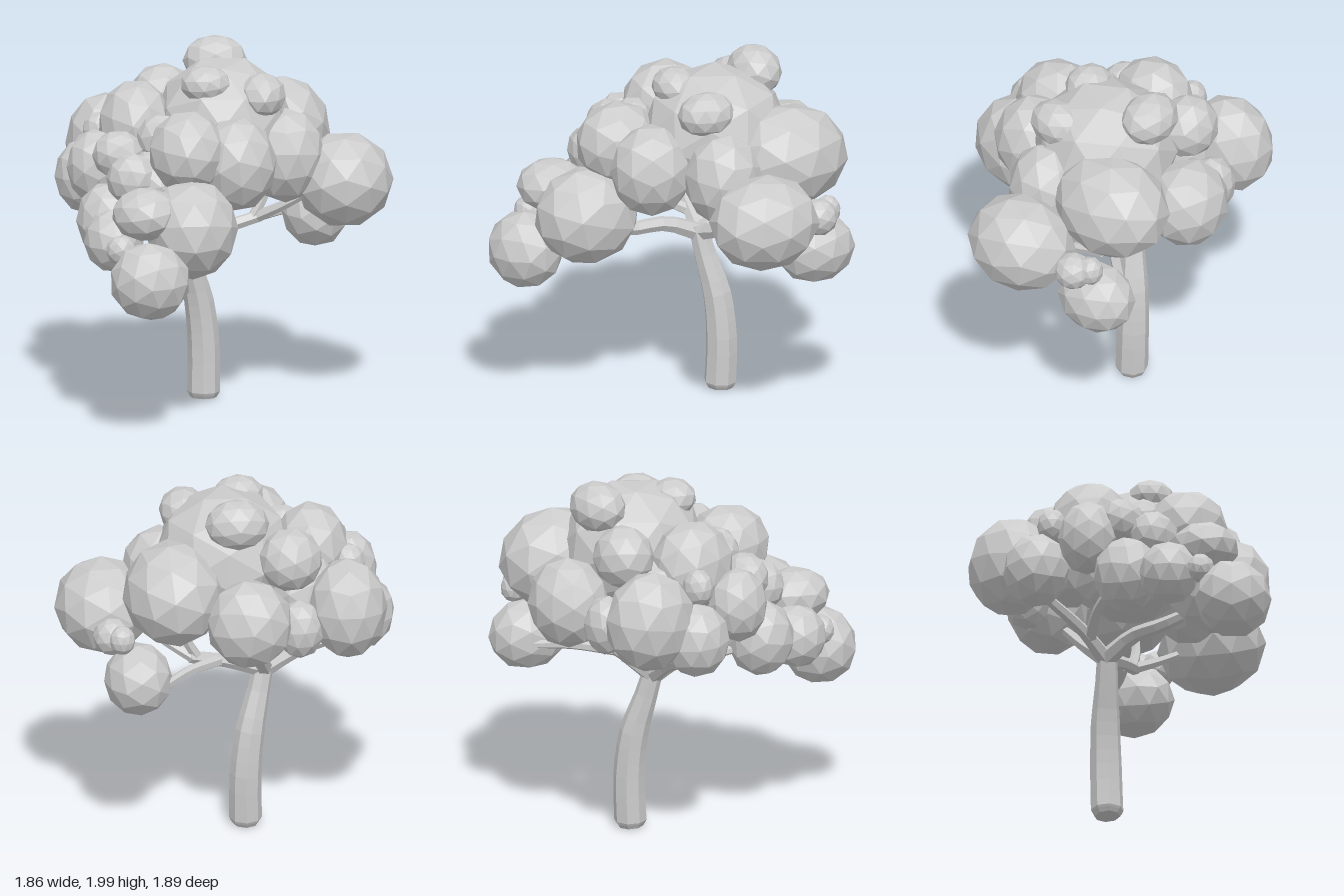
import * as THREE from 'three';

const grey = new THREE.MeshStandardMaterial({ color: 0xcccccc, flatShading: true });
grey.name = 'light grey';

// Leaf clumps: centre x, y, z, then radii x, y, z
const crown = [
  [0, 1.58, -0.23, 0.365, 0.35, 0.39],
  [0.3, 1.475, -0.52, 0.27, 0.275, 0.33],
  [-0.1, 1.365, -0.73, 0.23, 0.24, 0.21],
  [-0.65, 1.375, -0.57, 0.21, 0.27, 0.25],
  [-0.48, 1.575, -0.17, 0.2, 0.24, 0.23],
  [-0.34, 1.655, -0.53, 0.17, 0.17, 0.16],
  [0.34, 1.425, -0.1, 0.21, 0.25, 0.21],
  [-0.42, 1.4, -0.38, 0.2, 0.22, 0.2],
  [-0.36, 1.32, 0.18, 0.2, 0.2, 0.2],
];
const topKnobs = [
  [-0.05, 1.86, -0.5, 0.17, 0.135, 0.14],
  [-0.095, 1.84, -0.03, 0.135, 0.1, 0.12],
  [0.21, 1.77, -0.065, 0.13, 0.12, 0.16],
];
const rightSide = [
  [0.66, 1.27, -0.18, 0.26, 0.25, 0.3],
  [0.5, 0.995, -0.58, 0.18, 0.19, 0.22],
  [0.64, 1.23, -0.53, 0.1, 0.1, 0.1],
  [0.59, 1.24, -0.61, 0.07, 0.08, 0.07],
];
const frontClumps = [
  [-0.19, 1.53, 0.27, 0.21, 0.22, 0.23],
  [0.08, 1.45, 0.21, 0.21, 0.25, 0.22],
  [-0.165, 1.15, 0.48, 0.245, 0.262, 0.285],
  [-0.39, 0.92, 0.74, 0.213, 0.208, 0.197],
  [-0.415, 1.255, 0.56, 0.18, 0.14, 0.19],
];
const leftSide = [
  [-0.57, 1.48, 0.12, 0.14, 0.13, 0.12],
  [-0.34, 1.56, 0.1, 0.13, 0.14, 0.11],
  [-0.49, 1.38, 0.28, 0.14, 0.14, 0.12],
  [-0.62, 1.13, 0.19, 0.175, 0.205, 0.18],
  [-0.59, 1.08, 0.45, 0.16, 0.17, 0.16],
  [-0.7, 1.38, -0.02, 0.15, 0.2, 0.16],
  [-0.75, 1.25, -0.33, 0.17, 0.2, 0.18],
  [-0.68, 1.52, -0.27, 0.09, 0.1, 0.08],
  [-0.55, 1.07, 0.64, 0.08, 0.08, 0.07],
  [-0.38, 1.3, -0.67, 0.13, 0.16, 0.12],
];

function clump([x, y, z, rx, ry, rz], i) {
  const geo = new THREE.IcosahedronGeometry(1.045, 1);
  geo.rotateX(i * 1.3 + 0.4).rotateY(i * 2.1);
  geo.scale(rx, ry, rz);
  const mesh = new THREE.Mesh(geo, grey);
  mesh.position.set(x, y, z);
  return mesh;
}

// Tapered, capped tube; path points are x, y, z, radius
function limb(points, steps, sides) {
  const curve = new THREE.CatmullRomCurve3(points.map(p => new THREE.Vector3(p[0], p[1], p[2])));
  const frames = curve.computeFrenetFrames(steps, false);
  const pos = [], index = [];
  for (let i = 0; i <= steps; i++) {
    const t = i / steps, c = curve.getPoint(t);
    const k = Math.min(Math.floor(t * (points.length - 1)), points.length - 2);
    const r = THREE.MathUtils.lerp(points[k][3], points[k + 1][3], t * (points.length - 1) - k);
    for (let j = 0; j < sides; j++) {
      const a = (j / sides) * Math.PI * 2;
      const v = c.clone().addScaledVector(frames.normals[i], r * Math.cos(a))
        .addScaledVector(frames.binormals[i], r * Math.sin(a));
      pos.push(v.x, v.y, v.z);
      if (i < steps) {
        const n = (j + 1) % sides, p = i * sides;
        index.push(p + j, p + n, p + sides + j, p + n, p + sides + n, p + sides + j);
      }
    }
  }
  const last = steps * sides;
  for (let j = 1; j < sides - 1; j++) {
    index.push(0, j + 1, j, last, last + j, last + j + 1);
  }
  const geo = new THREE.BufferGeometry();
  geo.setAttribute('position', new THREE.Float32BufferAttribute(pos, 3));
  geo.setIndex(index);
  geo.computeVertexNormals();
  return new THREE.Mesh(geo, grey);
}

export function createModel() {
  const tree = new THREE.Group();
  tree.name = 'tree';

  // Curved trunk with a small chamfer at the foot
  const trunk = limb([
    [-0.11, 0.005, -0.32, 0.07], [-0.11, 0.04, -0.322, 0.09], [-0.11, 0.3, -0.33, 0.088],
    [-0.135, 0.55, -0.315, 0.081], [-0.185, 0.77, -0.27, 0.063], [-0.22, 0.94, -0.24, 0.055],
  ], 15, 8);
  trunk.name = 'trunk';
  tree.add(trunk);

  // Branches spreading from the fork
  const branches = new THREE.Group();
  branches.name = 'branches';
  [
    [[-0.22, 0.89, -0.25, 0.05], [0, 0.965, -0.3, 0.037], [0.2, 1.02, -0.36, 0.034]],
    [[0.18, 1.015, -0.355, 0.034], [0.32, 1.09, -0.3, 0.028], [0.48, 1.19, -0.24, 0.022]],
    [[0.04, 0.975, -0.32, 0.034], [0.21, 0.99, -0.48, 0.028], [0.35, 0.985, -0.65, 0.022]],
    [[0.15, 1.0, -0.345, 0.03], [0.22, 1.13, -0.37, 0.028], [0.25, 1.28, -0.4, 0.025]],
    [[-0.22, 0.89, -0.25, 0.055], [-0.24, 0.97, -0.05, 0.042], [-0.25, 0.975, 0.15, 0.038], [-0.22, 1.02, 0.36, 0.03]],
    [[-0.22, 0.89, -0.25, 0.05], [-0.4, 1, -0.27, 0.037], [-0.7, 1.13, -0.33, 0.028]],
    [[-0.35, 0.97, -0.26, 0.034], [-0.5, 1.04, -0.1, 0.028], [-0.62, 1.1, 0.1, 0.022]],
    [[-0.22, 0.89, -0.25, 0.05], [-0.18, 1.03, -0.42, 0.036], [-0.12, 1.2, -0.6, 0.026]],
  ].forEach((path, i) => {
    const branch = limb(path, 8, 6);
    branch.name = 'branch' + (i + 1);
    branches.add(branch);
  });
  tree.add(branches);

  // Faceted foliage
  let seed = 0;
  Object.entries({ crown, topKnobs, rightSide, frontClumps, leftSide }).forEach(([name, list]) => {
    const group = new THREE.Group();
    group.name = name + 'Foliage';
    list.forEach(c => {
      const mesh = clump(c, seed++);
      mesh.name = 'leafClump' + seed;
      group.add(mesh);
    });
    tree.add(group);
  });
  return tree;
}
